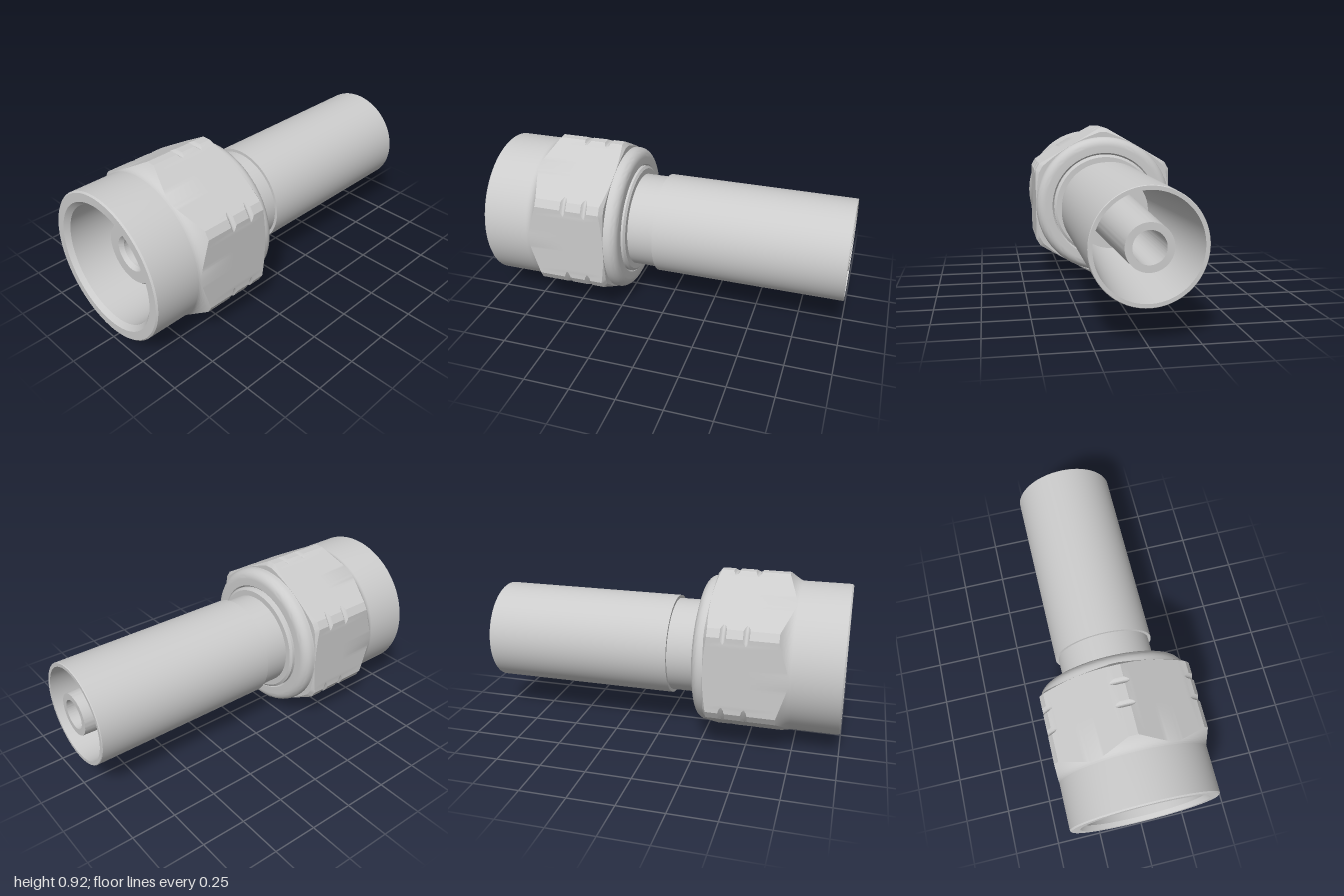
import * as THREE from 'three';
import { toCreasedNormals } from 'three/addons/utils/BufferGeometryUtils.js';

const AXIS_Y = 0.462;
const FLAT = 0.412, CORNER = 0.462, BODY = 0.41, GROOVE = 0.448;
const rad = Math.PI / 180;

function addPart(parent, name, geometry, crease = 25) {
  const material = new THREE.MeshStandardMaterial({ color: 0xcccccc });
  const mesh = new THREE.Mesh(toCreasedNormals(geometry, crease * rad), material);
  mesh.name = name;
  parent.add(mesh);
}

// Closed [x, radius] profile revolved around the x axis
function revolve(profile) {
  const points = [...profile, profile[0]].map(([x, r]) => new THREE.Vector2(r, x));
  return new THREE.LatheGeometry(points, 96).rotateZ(-Math.PI / 2);
}

// Quarter round that falls from the outer surface to the end face
function quarterRound(x, r, size, steps = 8) {
  return Array.from({ length: steps + 1 }, (_, i) => {
    const a = (i / steps) * Math.PI / 2;
    return [x + size * Math.sin(a), r + size * Math.cos(a)];
  });
}

// Hexagon radius by angle, corners blunted by a flat
function hexRadius(theta) {
  const phi = ((theta % 60) + 60) % 60;
  const toCorner = Math.min(phi, 60 - phi);
  return Math.min(FLAT / Math.cos((phi - 30) * rad), CORNER / Math.cos(toCorner * rad));
}

// Lengthwise [x, radius] section of the hexagon at one angle
function hexSection(theta) {
  const r = hexRadius(theta), section = [];
  // concave run-out into the round body
  for (let k = 0; k <= 10; k++) {
    const ri = BODY + (r - BODY) * (k / 10) ** 2;
    section.push([-0.74 + 0.07 * Math.sqrt((ri - BODY) / (CORNER - BODY)), ri]);
  }
  // two round grooves that only bite the corners
  for (const gx of [-0.505, -0.385]) {
    const depth = Math.max(0, r - GROOVE);
    const half = 0.001 + 0.016 * Math.sqrt(depth / (CORNER - GROOVE));
    for (let k = -4; k <= 4; k++) {
      const s = k / 4;
      section.push([gx + half * s, r - depth * (1 - s * s)]);
    }
  }
  // end chamfer and end face
  section.push([-0.282 - 0.018 * (r - BODY) / (CORNER - BODY), r]);
  section.push([-0.282, Math.min(r, BODY + (r - BODY) * 0.55)]);
  section.push([-0.282, 0.4]);
  return section;
}

function hexGeometry() {
  const blunt = Math.atan((FLAT / Math.cos(30 * rad) - CORNER) * Math.tan(60 * rad) / CORNER) / rad;
  const angles = [];
  for (let side = 0; side < 6; side++) {
    const start = side * 60;
    angles.push(start - blunt, start - blunt / 2, start, start + blunt / 2);
    for (let k = 0; k < 28; k++) angles.push(start + blunt + (60 - 2 * blunt) * k / 28);
  }
  const positions = [], index = [];
  const sections = angles.map(hexSection);
  const rows = sections[0].length, count = angles.length;
  sections.forEach((section, j) => {
    const c = Math.cos(angles[j] * rad), s = Math.sin(angles[j] * rad);
    for (const [x, r] of section) positions.push(x, r * c, r * s);
  });
  for (let j = 0; j < count; j++) {
    const n = (j + 1) % count;
    for (let i = 0; i < rows - 1; i++) {
      const a = j * rows + i, b = n * rows + i;
      index.push(a, b, a + 1, b, b + 1, a + 1);
    }
  }
  const geometry = new THREE.BufferGeometry();
  geometry.setAttribute('position', new THREE.Float32BufferAttribute(positions, 3));
  geometry.setIndex(index);
  return geometry;
}

export function createModel() {
  const model = new THREE.Group();
  model.name = 'hoseFitting';
  const fitting = new THREE.Group();
  fitting.name = 'fitting';
  fitting.position.y = AXIS_Y;
  model.add(fitting);

  const nut = new THREE.Group();
  nut.name = 'swivelNut';
  fitting.add(nut);

  // Round nut body with open bore and rounded shoulder
  addPart(nut, 'nutBody', revolve([
    [-1, 0.402], [-0.992, BODY],
    ...quarterRound(-0.267, BODY - 0.052, 0.052),
    [-0.215, 0.318], [-0.225, 0.309], [-0.62, 0.309],
    [-0.62, 0.33], [-0.975, 0.33], [-1, 0.355],
  ]));
  addPart(nut, 'nutHexagon', hexGeometry(), 22);

  // Nipple: cone seat inside the nut, collar and neck
  addPart(fitting, 'nipple', revolve([
    [-0.84, 0.1], [-0.84, 0.165], [-0.66, 0.3], [-0.3, 0.3], [-0.3, 0.309],
    [-0.207, 0.309], [-0.197, 0.295], [-0.197, 0.263],
    [0, 0.263], [0, 0.08], [-0.82, 0.08],
  ]));

  // Crimp sleeve with tapering inside
  addPart(fitting, 'sleeve', revolve([
    [-0.05, 0.255], [-0.05, 0.28], [0.996, 0.28], [1, 0.277], [1, 0.258], [0, 0.218],
  ]), 20);

  // Hollow tapered hose tail
  addPart(fitting, 'hoseTail', revolve([
    [0, 0.145], [1, 0.115], [1, 0.08], [0, 0.08],
  ]));

  return model;
}
